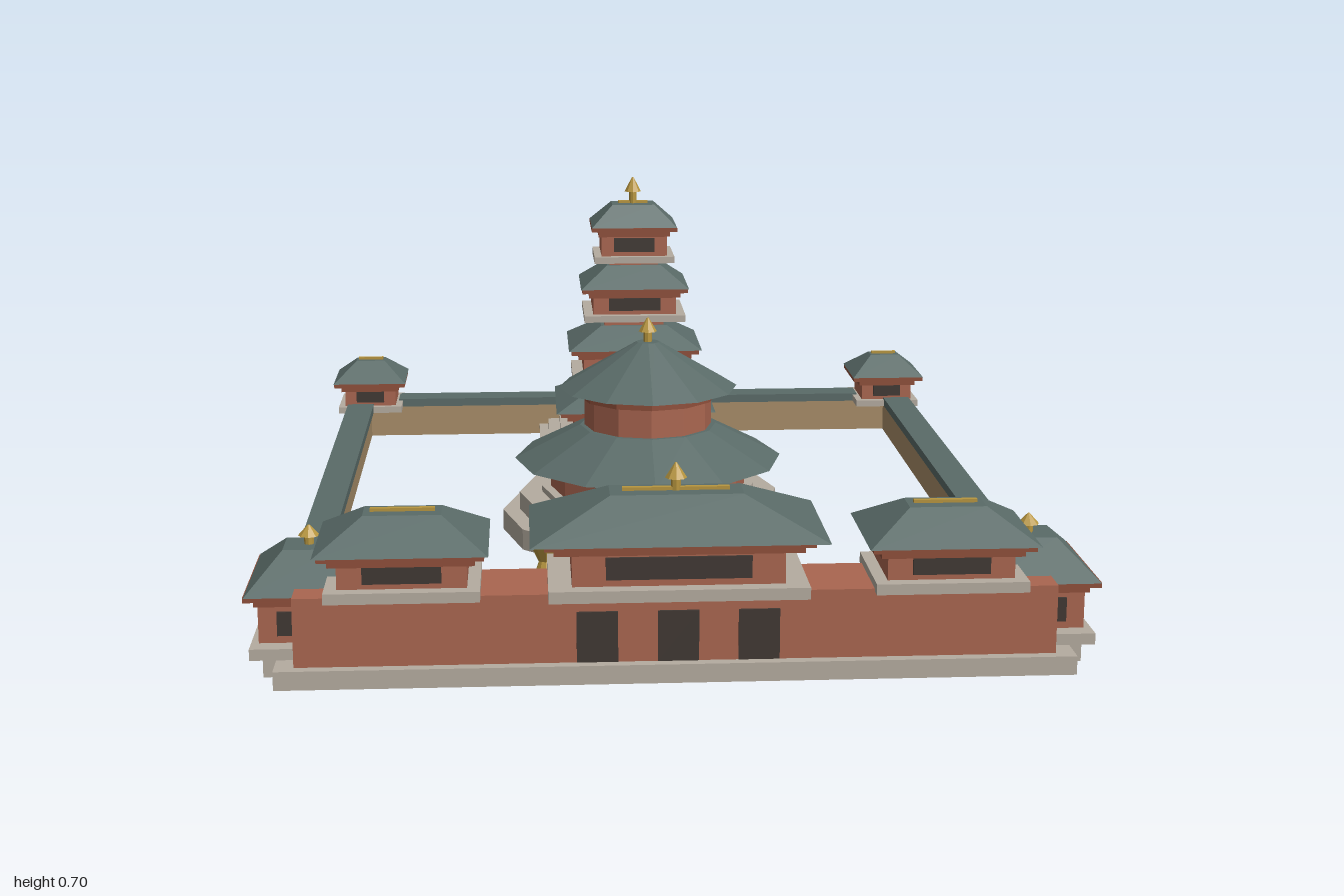
import * as THREE from 'three';

const paint = (name, color) => {
  const m = new THREE.MeshStandardMaterial({ color, flatShading: true });
  m.name = name;
  return m;
};

export function createModel() {
  const stone = paint('pale stone', 0xb5aca0);
  const tile = paint('slate green tile', 0x5a6b68);
  const red = paint('red wall', 0xaa6650);
  const wood = paint('dark red wood', 0x8f4f3a);
  const tan = paint('tan plaster', 0xa88d68);
  const gold = paint('gold', 0xb8963f);
  const dark = paint('dark opening', 0x403833);

  const root = new THREE.Group();
  root.name = 'templeCompound';
  const group = (name, x = 0, y = 0, z = 0) => {
    const g = new THREE.Group();
    g.name = name;
    g.position.set(x, y, z);
    root.add(g);
    return g;
  };
  const add = (parent, name, geo, mat, x, y, z) => {
    const m = new THREE.Mesh(geo, mat);
    m.name = name;
    m.position.set(x, y, z);
    parent.add(m);
    return m;
  };
  // Box given by half extents in x and z, and its bottom and top heights
  const slab = (p, name, mat, hx, hz, y0, y1, x = 0, z = 0) =>
    add(p, name, new THREE.BoxGeometry(hx * 2, y1 - y0, hz * 2), mat, x, (y0 + y1) / 2, z);
  // Cylinder or cone given by bottom and top heights and radii
  const drum = (p, name, mat, r0, r1, y0, y1, n = 12, x = 0, z = 0) =>
    add(p, name, new THREE.CylinderGeometry(r1, r0, y1 - y0, n), mat, x, (y0 + y1) / 2, z);
  // Hipped roof: a box with its top corners drawn in
  const hipRoof = (p, hx, hz, tx, tz, y0, y1) => {
    const geo = new THREE.BoxGeometry(hx * 2, y1 - y0, hz * 2);
    const pos = geo.attributes.position;
    for (let i = 0; i < pos.count; i++) {
      if (pos.getY(i) > 0) {
        pos.setX(i, Math.sign(pos.getX(i)) * tx);
        pos.setZ(i, Math.sign(pos.getZ(i)) * tz);
      }
    }
    geo.computeVertexNormals();
    add(p, 'hippedRoof', geo, tile, 0, (y0 + y1) / 2, 0);
  };
  const finial = (p, y, h) => {
    drum(p, 'finialStem', gold, 0.009, 0.009, y, y + h * 0.5, 8);
    drum(p, 'finialTip', gold, 0.02, 0.002, y + h * 0.45, y + h, 8);
  };

  // One storey: base slab, body, front and back windows, cornice and roof
  const storey = (p, o) => {
    const { y, slabTop, eave, top, roof, base, body, win, ridge } = o;
    slab(p, 'baseSlab', stone, base[0], base[1], y, slabTop);
    slab(p, 'body', red, body[0], body[1], slabTop, eave - 0.015);
    const rise = eave - slabTop;
    for (const s of [-1, 1]) {
      slab(p, 'window', dark, win, 0.003, slabTop + rise * 0.15, slabTop + rise * 0.62, 0, s * (body[1] + 0.002));
    }
    const mid = [0, 1].map((i) => body[i] * 0.5 + roof[i] * 0.5);
    slab(p, 'cornice', wood, mid[0] - 0.005, mid[1] - 0.005, eave - 0.024, eave - 0.01);
    slab(p, 'eaveBoard', wood, mid[0] + 0.012, mid[1] + 0.012, eave - 0.01, eave);
    hipRoof(p, roof[0], roof[1], o.crown[0], o.crown[1], eave, top);
    if (ridge) slab(p, 'ridgeCap', gold, ridge, 0.005, top, top + 0.006);
  };

  // Front gate wall with three doorways
  const gate = group('gateWall', 0, 0, 0.853);
  slab(gate, 'plinth', stone, 0.72, 0.097, 0, 0.035);
  slab(gate, 'wall', red, 0.685, 0.077, 0.035, 0.163);
  for (const x of [-0.145, 0, 0.145]) slab(gate, 'door', dark, 0.037, 0.003, 0.036, 0.13, x, 0.078);

  // Main gatehouse on top of the wall
  const hall = group('gatehouse', 0, 0, 0.855);
  storey(hall, {
    y: 0.158, slabTop: 0.18, eave: 0.267, top: 0.332, roof: [0.264, 0.142], crown: [0.12, 0.035],
    base: [0.232, 0.115], body: [0.19, 0.088], win: 0.13, ridge: 0.097,
  });
  finial(hall, 0.332, 0.05);

  for (const s of [-1, 1]) {
    // Side pavilions on the wall
    storey(group('sidePavilion', s * 0.49, 0, 0.853), {
      y: 0.158, slabTop: 0.178, eave: 0.247, top: 0.3, roof: [0.154, 0.12], crown: [0.07, 0.032],
      base: [0.138, 0.1], body: [0.115, 0.076], win: 0.07, ridge: 0.058,
    });

    // Front corner towers
    const corner = group('frontCornerTower', s * 0.668, 0, 0.755);
    slab(corner, 'footing', stone, 0.077, 0.125, 0, 0.035);
    storey(corner, {
      y: 0.035, slabTop: 0.056, eave: 0.152, top: 0.212, roof: [0.107, 0.136], crown: [0.045, 0.04],
      base: [0.1, 0.134], body: [0.086, 0.1], win: 0.052,
    });
    finial(corner, 0.212, 0.036);

    // Back corner towers
    storey(group('backCornerTower', s * 0.67, 0, -0.908), {
      y: 0.08, slabTop: 0.096, eave: 0.158, top: 0.205, roof: [0.091, 0.091], crown: [0.036, 0.022],
      base: [0.08, 0.08], body: [0.064, 0.064], win: 0.035, ridge: 0.031,
    });

    // Side walls
    const side = group('sideWall', s * 0.695, 0, -0.135);
    slab(side, 'wall', tan, 0.022, 0.8, 0, 0.08);
    slab(side, 'wallCap', tile, 0.033, 0.79, 0.08, 0.1);

    // Gold censers in front of the round hall
    const censer = group('censer', s * 0.231, 0, 0.262);
    drum(censer, 'foot', gold, 0.02, 0.014, 0, 0.018, 10);
    drum(censer, 'bowl', gold, 0.016, 0.031, 0.018, 0.05, 10);
    drum(censer, 'lid', gold, 0.026, 0.006, 0.05, 0.066, 10);
  }

  // Back wall
  const back = group('backWall', 0, 0, -0.93);
  slab(back, 'wall', tan, 0.7, 0.02, 0, 0.08);
  slab(back, 'wallCap', tile, 0.6, 0.034, 0.08, 0.1);

  // Stone path through the compound, with steps to the round hall
  const path = group('path');
  slab(path, 'paving', stone, 0.07, 0.873, 0, 0.01, 0, -0.112);
  for (let i = 0; i < 4; i++) {
    const front = 0.352 - i * 0.02;
    slab(path, 'step', stone, 0.075, (front - 0.2) / 2, 0, 0.02 + i * 0.018, 0, (front + 0.2) / 2);
  }

  // Round hall with two roofs
  const round = group('roundHall', 0, 0, -0.035);
  drum(round, 'lowerTerrace', stone, 0.322, 0.322, 0, 0.045);
  drum(round, 'upperTerrace', stone, 0.285, 0.285, 0.045, 0.085);
  drum(round, 'plinthRing', stone, 0.235, 0.235, 0.085, 0.098);
  drum(round, 'lowerDrum', red, 0.215, 0.215, 0.098, 0.15);
  drum(round, 'lowerCornice', wood, 0.23, 0.23, 0.143, 0.163);
  drum(round, 'lowerRoof', tile, 0.294, 0.15, 0.163, 0.237);
  drum(round, 'upperDrum', red, 0.14, 0.14, 0.237, 0.305);
  drum(round, 'upperCornice', wood, 0.15, 0.15, 0.3, 0.322);
  drum(round, 'upperRoof', tile, 0.196, 0.025, 0.322, 0.422);
  finial(round, 0.42, 0.055);

  // Four-storey pagoda on a stepped terrace
  const pagoda = group('pagoda', 0, 0, -0.69);
  slab(pagoda, 'lowerTerrace', stone, 0.235, 0.202, 0, 0.03);
  slab(pagoda, 'upperTerrace', stone, 0.212, 0.178, 0.03, 0.05);
  slab(pagoda, 'frontStep', stone, 0.07, 0.05, 0, 0.02, 0, 0.25);
  const tiers = [
    // base height, eave, roof half width and depth
    [0.05, 0.14, 0.195, 0.157],
    [0.2, 0.29, 0.163, 0.131],
    [0.358, 0.44, 0.132, 0.114],
    [0.5, 0.588, 0.104, 0.09],
  ];
  tiers.forEach(([y, eave, hx, hz], i) => {
    storey(pagoda, {
      y, slabTop: y + 0.016, eave, top: eave + 0.05, roof: [hx, hz], crown: [hx * 0.5, hz * 0.42],
      base: [hx * 0.94, hz * 0.94], body: [hx * 0.77, hz * 0.76], win: hx * 0.48, ridge: i === 3 ? 0.036 : 0,
    });
    // Core joining each roof to the storey above
    if (i < 3) slab(pagoda, 'core', red, hx * 0.45, hz * 0.38, eave + 0.045, tiers[i + 1][0]);
  });
  finial(pagoda, 0.638, 0.064);

  return root;
}
